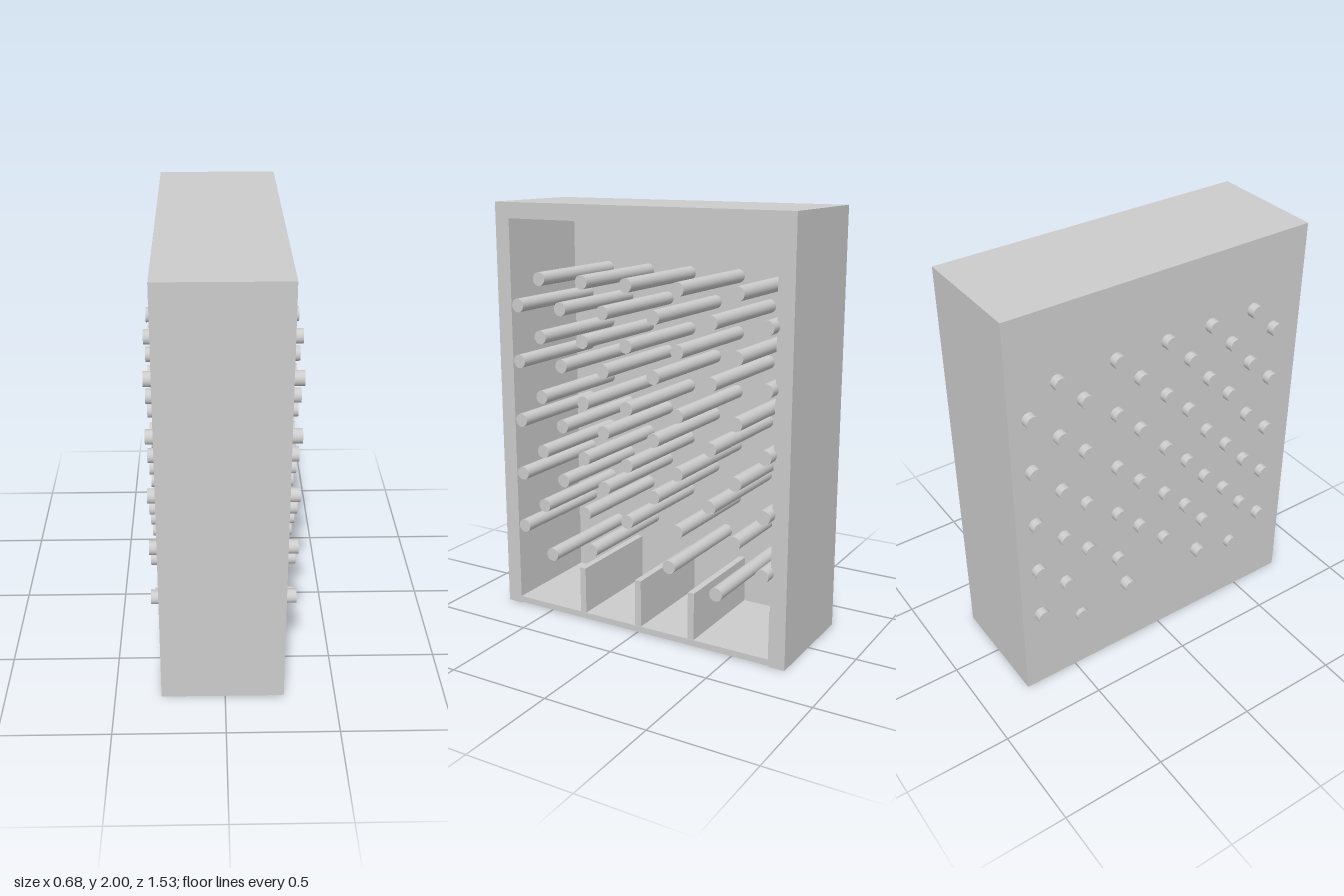
import * as THREE from 'three';

const material = new THREE.MeshStandardMaterial({ color: 0xcccccc });

// Box spanning the given limits on each axis
function slab(name, [x0, x1], [y0, y1], [z0, z1]) {
  const mesh = new THREE.Mesh(new THREE.BoxGeometry(x1 - x0, y1 - y0, z1 - z0), material);
  mesh.position.set((x0 + x1) / 2, (y0 + y1) / 2, (z0 + z1) / 2);
  mesh.name = name;
  return mesh;
}

// Round rod lying along x
function peg(y, z, x0 = -0.33, x1 = 0.322) {
  const geometry = new THREE.CylinderGeometry(0.032, 0.032, x1 - x0, 32).rotateZ(Math.PI / 2);
  const mesh = new THREE.Mesh(geometry, material);
  mesh.position.set((x0 + x1) / 2, y, z);
  mesh.name = 'peg';
  return mesh;
}

export function createModel() {
  const model = new THREE.Group();
  model.name = 'pegBoardBox';
  const back = -0.29, front = 0.267, inner = 0.69, outer = 0.767;
  const depth = [back, front];

  // Case: an open tray standing on edge, open towards +x
  const box = new THREE.Group();
  box.name = 'case';
  box.add(
    slab('topWall', depth, [1.925, 2], [-outer, outer]),
    slab('frontWall', depth, [0, 1.925], [inner, outer]),
    slab('rearWall', depth, [0, 1.925], [-outer, -inner]),
    slab('floor', [back + 0.03, front], [0.005, 0.035], [-inner, inner]),
    slab('panel', [back, back + 0.03], [0, 1.925], [-inner, inner])
  );
  model.add(box);

  // Bin dividers on the floor, with a thin liner against the rear wall
  const inside = [back + 0.03, front - 0.002];
  const dividers = new THREE.Group();
  dividers.name = 'dividers';
  for (const z of [0.309, -0.005, -0.291]) {
    dividers.add(slab('divider', inside, [0.035, 0.265], [z - 0.016, z + 0.016]));
  }
  dividers.add(slab('liner', inside, [0.035, 0.265], [-inner, -inner + 0.005]));
  model.add(dividers);

  // Staggered peg rows passing through the panel
  const pegs = new THREE.Group();
  pegs.name = 'pegs';
  for (const y of [1.66, 1.39, 1.105, 0.84, 0.57]) {
    for (const z of [0.485, 0.25, 0.016, -0.246, -0.533]) pegs.add(peg(y, z));
  }
  const wideRow = [0.61, 0.37, 0.14, -0.125, -0.41, -0.672];
  for (const y of [1.53, 1.265, 0.978, 0.713]) {
    for (const z of wideRow) pegs.add(peg(y, z));
  }
  for (const z of [wideRow[0], wideRow[5]]) pegs.add(peg(0.445, z));

  // Four loose pegs guiding into the bins
  pegs.add(
    peg(0.33, 0.44, -0.32, 0.33),
    peg(0.387, 0.223, -0.34, 0.312),
    peg(0.388, -0.2, -0.34, 0.312),
    peg(0.32, -0.456, -0.313, 0.338)
  );
  model.add(pegs);
  return model;
}
